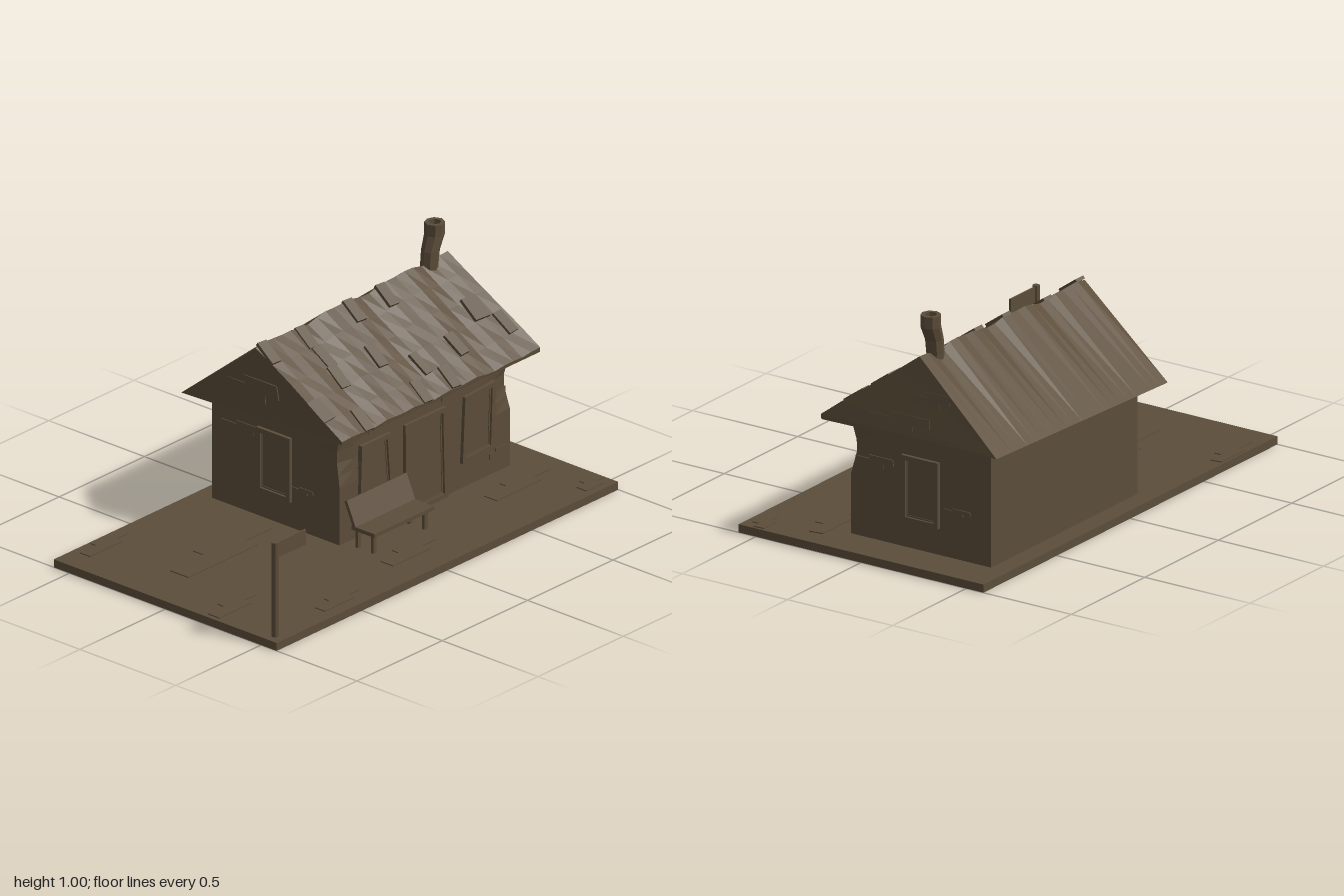
import * as THREE from 'three';

const material = new THREE.MeshStandardMaterial({ color: 0x5c4d3a, flatShading: true, side: THREE.DoubleSide });
const lerp = THREE.MathUtils.lerp;

function add(parent, name, geometry, x = 0, y = 0, z = 0) {
  const mesh = new THREE.Mesh(geometry, material);
  mesh.name = name;
  mesh.position.set(x, y, z);
  parent.add(mesh);
  return mesh;
}
const box = (parent, name, w, h, d, x, y, z) => add(parent, name, new THREE.BoxGeometry(w, h, d), x, y, z);

// Flat slab cut from an outline, with an optional hole
function slab(points, depth, hole) {
  const shape = new THREE.Shape(points.map(p => new THREE.Vector2(...p)));
  if (hole) shape.holes.push(new THREE.Path(hole.map(p => new THREE.Vector2(...p))));
  return new THREE.ExtrudeGeometry(shape, { depth, bevelEnabled: false });
}

// Stepped patch of stones, w by h, centred on its origin
function patch(w, h, depth = 0.005) {
  const a = w / 2, b = h / 2;
  return slab([[-a, -b], [a * 0.45, -b], [a * 0.45, -b * 0.2], [a, -b * 0.2], [a * 0.95, b],
    [-a * 0.3, b], [-a * 0.3, b * 0.3], [-a, b * 0.3]], depth);
}

// Shrinks a quad towards its centre by a border width
function inset(quad, t) {
  const cx = quad.reduce((s, p) => s + p[0], 0) / 4, cy = quad.reduce((s, p) => s + p[1], 0) / 4;
  return quad.map(([x, y]) => [x - Math.sign(x - cx) * t, y - Math.sign(y - cy) * t]);
}

// Frame, inner frame and panel in the local xy plane, facing +z
function opening(parent, name, quad) {
  const group = new THREE.Group();
  group.name = name;
  const inner = inset(quad, 0.02), pane = inset(quad, 0.026);
  add(group, 'outerFrame', slab(quad, 0.02, inner), 0, 0, -0.005);
  add(group, 'innerFrame', slab(inner, 0.011, pane), 0, 0, -0.005);
  add(group, 'panel', slab(pane, 0.008), 0, 0, -0.005);
  parent.add(group);
  return group;
}

// Hollow-cornered walls: the corners on the porch side sag inwards
function wallGeometry() {
  const g = new THREE.BoxGeometry(0.667, 0.49, 0.997, 5, 10, 12);
  g.translate(-0.1675, 0.28, -0.3335);
  const p = g.attributes.position;
  for (let i = 0; i < p.count; i++) {
    const x = p.getX(i), y = p.getY(i), z = p.getZ(i);
    const dent = Math.max(0, 1 - Math.abs(y - 0.4) / 0.12);
    const side = THREE.MathUtils.clamp((x - 0.03) / 0.13, 0, 1);
    const corner = Math.max(0, 1 - Math.min(0.165 - z, z + 0.832) / 0.12);
    p.setX(i, x - 0.028 * dent * side * corner);
    p.setZ(i, z - 0.012 * Math.sign(z + 0.33) * dent * side * corner);
  }
  g.computeVertexNormals();
  return g;
}

// Roof: cross-sections from front to back, straight on one slope and wavy on the other
const SLOPE = Math.atan2(0.3, 0.42);
const ridgeY = t => lerp(0.818, 0.847, t);
const wave = (t, u) => 0.008 * Math.sin(t * 19 + u * 2.2) * (1 - 0.6 * u) + 0.004 * Math.sin(t * 41 + u * 5);
const slopeY = (t, u) => lerp(ridgeY(t), 0.533, u) + wave(t, u);
const slopeT = (z, u) => (lerp(0.28, 0.245, u) - z) / (lerp(0.28, 0.245, u) + lerp(0.845, 0.915, u));

function roofGeometry() {
  const N = 22, M = 5, rings = [], v = [];
  for (let i = 0; i <= N; i++) {
    const t = i / N;
    const ring = [[-0.585, lerp(0.49, 0.53, t), lerp(0.25, -0.915, t)]];
    for (let j = 0; j <= M; j++) {
      const u = j / M;
      ring.push([lerp(-0.17, 0.25, u), slopeY(t, u), lerp(lerp(0.28, 0.245, u), lerp(-0.845, -0.915, u), t)]);
    }
    ring.push([0.248, 0.518, lerp(0.245, -0.915, t)]);
    rings.push(ring);
  }
  const K = rings[0].length;
  for (let i = 0; i < N; i++) for (let j = 0; j < K; j++) {
    const k = (j + 1) % K;
    const a = rings[i][j], b = rings[i][k], c = rings[i + 1][k], d = rings[i + 1][j];
    v.push(...a, ...b, ...c, ...a, ...c, ...d);
  }
  for (let k = 1; k < K - 1; k++) {
    v.push(...rings[0][0], ...rings[0][k + 1], ...rings[0][k]);
    v.push(...rings[N][0], ...rings[N][k], ...rings[N][k + 1]);
  }
  const g = new THREE.BufferGeometry();
  g.setAttribute('position', new THREE.Float32BufferAttribute(v, 3));
  g.computeVertexNormals();
  return g;
}

export function createModel() {
  const model = new THREE.Group();
  model.name = 'stationHouse';

  // Ground with paving patches: x, z, width, length
  box(model, 'ground', 1.164, 0.034, 2, 0, 0.017, 0);
  for (const [x, z, w, l] of [[-0.15, 0.5, 0.15, 0.56], [-0.53, 0.76, 0.08, 0.26], [0.22, 0.85, 0.09, 0.26],
    [0.49, 0.54, 0.08, 0.24], [0.4, 0.02, 0.1, 0.3], [0.3, -0.73, 0.1, 0.36], [0.51, -0.92, 0.08, 0.14]]) {
    const stones = add(model, 'pavingPatch', patch(l, w, 0.004), x, 0.034, z);
    stones.rotation.set(-Math.PI / 2, 0, Math.PI / 2);
  }

  add(model, 'walls', wallGeometry());
  add(model, 'roof', roofGeometry());

  // Loose shingles on the wavy slope: slope row, z, width
  for (const [row, z, w] of [[0, 0.03, 0.05], [0, -0.25, 0.05], [0, -0.44, 0.05], [0, 0.25, 0.05],
    [1, 0.02, 0.05], [2, -0.77, 0.08], [2, -0.19, 0.05], [3, -0.565, 0.05], [3, -0.355, 0.04], [3, 0.23, 0.07],
    [2, 0.03, 0.05], [4, 0.08, 0.05], [4, -0.43, 0.05], [4, -0.265, 0.05], [3, -0.85, 0.05]]) {
    const u = (row + 0.5) / 5;
    const tile = box(model, 'shingle', 0.105, 0.014, w, lerp(-0.17, 0.25, u), slopeY(slopeT(z, u), u) + 0.004, z);
    tile.rotation.set(0, (row % 2 ? 1 : -1) * 0.06, -SLOPE, 'ZYX');
  }

  // Crooked hollow chimney
  const pipe = new THREE.LatheGeometry([[0.036, 0.77], [0.036, 0.83], [0.037, 0.89], [0.041, 0.95], [0.041, 1],
    [0.025, 1], [0.025, 0.95], [0.022, 0.85], [0, 0.85]].map(p => new THREE.Vector2(...p)), 8);
  const p = pipe.attributes.position;
  for (let i = 0; i < p.count; i++) {
    p.setZ(i, p.getZ(i) - 0.032 * THREE.MathUtils.smoothstep(p.getY(i), 0.86, 0.96));
  }
  pipe.computeVertexNormals();
  add(model, 'chimney', pipe, -0.17, 0, -0.737);

  // Windows and stones on the two end walls
  const endWindow = [[-0.0875, 0.145], [0.0875, 0.145], [0.0875, 0.42], [-0.0875, 0.42]];
  for (const [z, turn] of [[0.165, 0], [-0.832, Math.PI]]) {
    const s = turn ? -1 : 1;
    const window = opening(model, turn ? 'backWindow' : 'frontWindow', endWindow);
    window.position.set(-0.17, 0, z);
    window.rotation.y = turn;
    const stones = turn ? [[0.05, 0.36, 0.18], [-0.34, 0.23, 0.13]] : [[-0.335, 0.387, 0.23], [-0.025, 0.21, 0.11]];
    for (const [x, y, w] of stones) {
      add(model, 'wallStones', patch(w, w > 0.15 ? 0.045 : 0.025), x, y, z - s * 0.001).rotation.y = turn;
    }
  }

  // Cracked boards on the leaning gables
  const front = add(model, 'gablePatch', patch(0.265, 0.105), -0.198, 0.628, 0.2585);
  front.rotation.x = 0.1;
  for (const [x, y, z, w] of [[-0.12, 0.585, -0.902, 0.28], [-0.255, 0.69, -0.877, 0.17]]) {
    add(model, 'gablePatch', patch(w, 0.06), x, y, z).rotation.set(-0.22, Math.PI, 0, 'YXZ');
  }

  // Crooked door and windows on the porch side (local x runs towards the back)
  const sideOpenings = {
    door: [[0.21, 0.034], [0.455, 0.034], [0.445, 0.425], [0.205, 0.425]],
    sideWindowNear: [[-0.06, 0.145], [0.14, 0.145], [0.12, 0.425], [-0.05, 0.425]],
    sideWindowFar: [[0.54, 0.145], [0.725, 0.15], [0.735, 0.435], [0.555, 0.425]],
  };
  for (const [name, quad] of Object.entries(sideOpenings)) {
    const part = opening(model, name, quad);
    part.position.x = 0.166;
    part.rotation.y = Math.PI / 2;
  }
  for (const [z, y, w] of [[-0.1, 0.47, 0.2], [-0.5, 0.465, 0.14], [-0.76, 0.12, 0.1]]) {
    add(model, 'wallStones', patch(w, 0.035), 0.165, y, z).rotation.y = Math.PI / 2;
  }

  // Bench
  const bench = new THREE.Group();
  bench.name = 'bench';
  model.add(bench);
  box(bench, 'seat', 0.12, 0.016, 0.35, 0.275, 0.122, -0.025);
  box(bench, 'backrest', 0.015, 0.118, 0.35, 0.208, 0.173, -0.025).rotation.z = 0.42;
  for (const x of [0.228, 0.308]) for (const z of [0.125, -0.175]) {
    box(bench, 'leg', 0.014, 0.085, 0.018, x, 0.075, z);
  }

  // Sign post
  add(model, 'signPost', new THREE.CylinderGeometry(0.015, 0.015, 0.403, 8), 0.534, 0.2355, 0.955);
  box(model, 'signBoard', 0.008, 0.065, 0.17, 0.534, 0.4, 0.863);

  return model;
}
